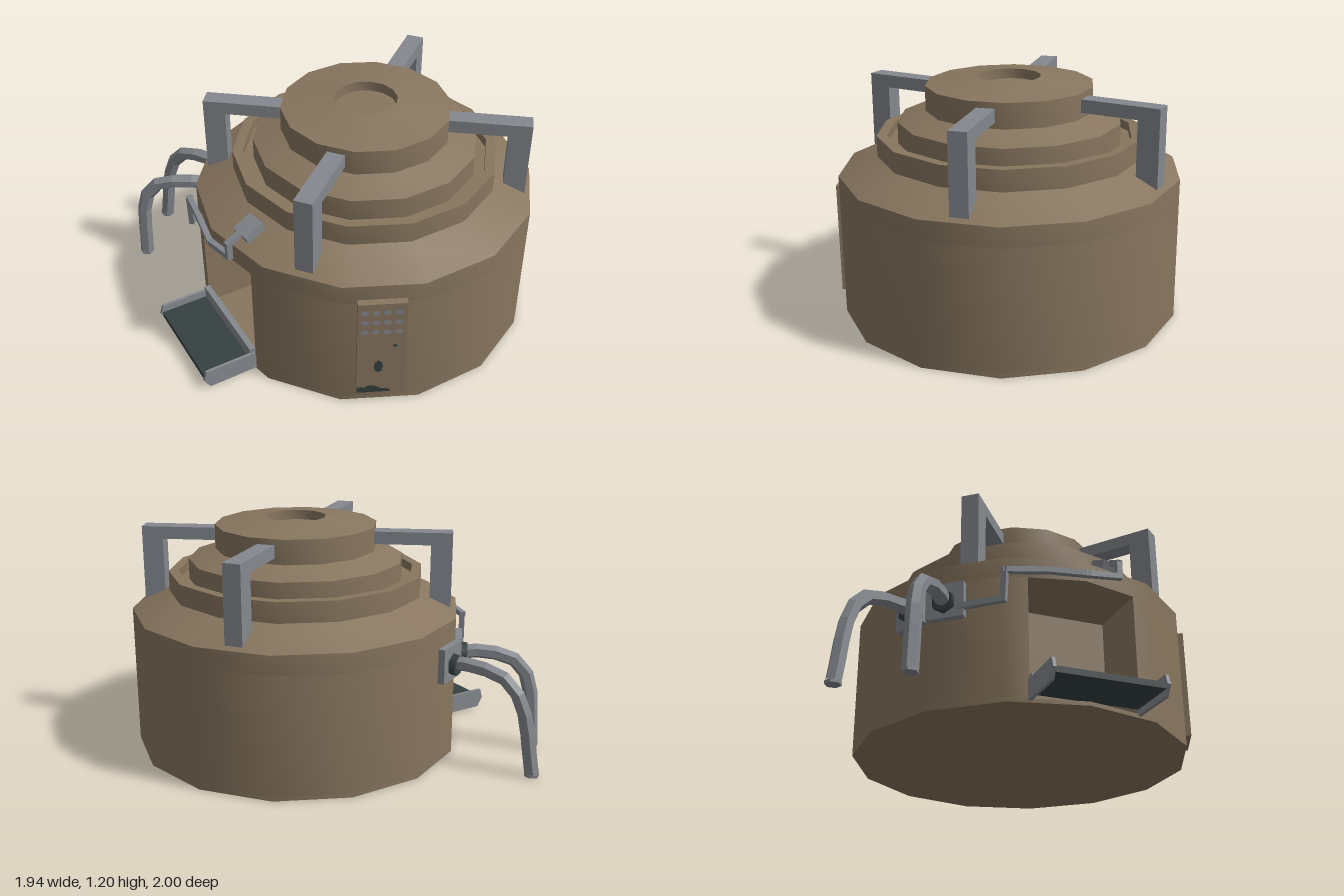
import * as THREE from 'three';
import { toCreasedNormals } from 'three/addons/utils/BufferGeometryUtils.js';

const SIDES = 14, R = 0.86, CX = 0.11, CZ = 0.16;
const STEP = (Math.PI * 2) / SIDES;
const APOTHEM = R * Math.cos(STEP / 2);
const V = (x, y, z) => new THREE.Vector3(x, y, z);

export function createModel() {
  const model = new THREE.Group();
  const material = (name, color, extra = {}) => {
    const m = new THREE.MeshStandardMaterial({ color, ...extra });
    m.name = name;
    return m;
  };
  const brown = material('brown paint', 0x88765f);
  const grey = material('grey metal', 0x84888e);
  const dark = material('dark metal', 0x364040);

  const add = (name, geo, mat, parent = model) => {
    const mesh = new THREE.Mesh(geo, mat);
    mesh.name = name;
    parent.add(mesh);
    return mesh;
  };
  const box = (name, mat, w, h, d, x, y, z, parent) => {
    const m = add(name, new THREE.BoxGeometry(w, h, d), mat, parent);
    m.position.set(x, y, z);
    return m;
  };
  // Group lying on a flat side of the body: local +z points outward
  const onSide = (name, index) => {
    const a = (index + 0.5) * STEP;
    const g = new THREE.Group();
    g.name = name;
    g.position.set(CX + APOTHEM * Math.cos(a), 0, CZ + APOTHEM * Math.sin(a));
    g.rotation.y = Math.PI / 2 - a;
    model.add(g);
    return g;
  };
  // Plan outline raised from y0 to y1
  const slab = (points, y0, y1) => {
    const shape = new THREE.Shape(points.map(p => new THREE.Vector2(p[0], p[1])));
    const g = new THREE.ExtrudeGeometry(shape, { depth: y1 - y0, bevelEnabled: false });
    g.rotateX(Math.PI / 2).translate(0, y1, 0);
    return toCreasedNormals(g, 0.5);
  };

  // Body: floor, walls with a doorway recess, stepped roof
  const outline = [];
  for (let i = 0; i < SIDES; i++) {
    outline.push([CX + R * Math.cos(i * STEP), CZ + R * Math.sin(i * STEP)]);
  }
  add('floor', slab(outline, 0, 0.02), brown);
  const walls = [...outline];
  walls.splice(7, 1, [-0.686, 0.44], [-0.35, 0.44], [-0.35, -0.11], [-0.689, -0.11]);
  add('walls', slab(walls, 0.02, 0.63), brown);

  const profile = [
    [0, 0.63], [R, 0.63], [R, 0.73], [0.665, 0.82], [0.665, 0.925], [0.615, 0.925], [0.615, 0.88],
    [0.56, 0.88], [0.56, 0.99], [0.42, 1.04], [0.42, 1.165], [0.155, 1.2], [0.155, 1.15], [0, 1.15],
  ].map(p => new THREE.Vector2(p[0], p[1]));
  const roof = new THREE.LatheGeometry(profile, SIDES, Math.PI / 2);
  add('roof', toCreasedNormals(roof, 0.5), brown).position.set(CX, 0, CZ);

  // Four brackets reaching from the eaves to the top cap
  for (const side of [1, 5, 8, 12]) {
    const g = new THREE.Group();
    g.name = 'bracket';
    g.position.set(CX, 0, CZ);
    g.rotation.y = -(side + 0.5) * STEP;
    model.add(g);
    box('bracketPost', grey, 0.11, 0.395, 0.09, 0.755, 0.9375, 0, g);
    box('bracketArm', grey, 0.3, 0.065, 0.09, 0.55, 1.1025, 0, g);
  }

  // Front panel with vents, keyhole and a worn lower edge
  const panel = onSide('frontPanel', 4);
  box('panelPlate', brown, 0.23, 0.57, 0.05, -0.004, 0.365, 0.01, panel);
  const front = 0.038;
  for (const y of [0.6, 0.54, 0.48]) {
    for (const x of [-0.085, -0.033, 0.02, 0.072]) {
      const vent = add('vent', new THREE.CircleGeometry(0.02, 8), grey, panel);
      vent.position.set(x, y, front);
      vent.scale.y = 0.75;
    }
  }
  const hole = add('keyhole', new THREE.CircleGeometry(0.04, 8), dark, panel);
  hole.position.set(-0.016, 0.255, front);
  hole.scale.x = 0.55;
  box('panelHandle', dark, 0.02, 0.01, 0.006, 0.06, 0.39, front, panel);
  const wear = new THREE.Shape([[-0.118, 0.082], [0.045, 0.082], [0.04, 0.1], [0, 0.105], [-0.03, 0.125],
    [-0.06, 0.13], [-0.08, 0.115], [-0.118, 0.12]].map(p => new THREE.Vector2(p[0], p[1])));
  add('wornEdge', new THREE.ShapeGeometry(wear), dark, panel).position.z = front;

  // Door ramp between two side rails
  box('rampPlate', dark, 0.27, 0.03, 0.54, -0.825, 0.055, 0.163);
  const rail = new THREE.Shape([[-0.97, 0.06], [-0.955, 0.11], [-0.69, 0.11], [-0.67, 0.01], [-0.94, 0.008]]
    .map(p => new THREE.Vector2(p[0], p[1])));
  for (const z of [-0.117, 0.428]) {
    const geo = new THREE.ExtrudeGeometry(rail, { depth: 0.016, bevelEnabled: false });
    add('rampRail', geo, grey).position.z = z;
  }
  box('rampHinge', grey, 0.03, 0.07, 0.54, -0.698, 0.1, 0.163);

  // Pipe connector wrapped round a back corner
  for (const [side, sign] of [[8, -1], [9, 1]]) {
    const g = onSide('pipeConnector', side);
    box('connectorPlate', grey, 0.19, 0.18, 0.05, sign * 0.098, 0.53, 0.01, g);
    const socket = add('pipeSocket', new THREE.CylinderGeometry(0.055, 0.06, 0.04, 6), dark, g);
    socket.rotation.x = Math.PI / 2;
    socket.position.set(sign * 0.1, 0.52, 0.045);
  }

  // Bent pipes running down to the ground
  const pipeMat = material('grey pipe', 0x84888e, { flatShading: true });
  const pipePaths = [
    [V(-0.35, 0.52, -0.55), V(-0.41, 0.53, -0.67), V(-0.49, 0.49, -0.83), V(-0.535, 0.38, -0.905), V(-0.575, 0.015, -0.965)],
    [V(-0.49, 0.52, -0.45), V(-0.61, 0.53, -0.53), V(-0.74, 0.48, -0.64), V(-0.79, 0.38, -0.675), V(-0.815, 0.015, -0.695)],
  ];
  for (const path of pipePaths) {
    const curve = new THREE.CatmullRomCurve3(path, false, 'centripetal');
    add('pipe', new THREE.TubeGeometry(curve, 8, 0.038, 6), pipeMat);
    const end = add('pipeEnd', new THREE.CylinderGeometry(0.038, 0.038, 0.015, 6), pipeMat);
    end.position.copy(path[4]);
    end.position.y = 0.012;
  }

  // Cable along the wall, over the doorway and up to a roof box
  const cable = [V(-0.55, 0.49, -0.4), V(-0.695, 0.49, -0.235), V(-0.7, 0.64, -0.23), V(-0.735, 0.66, -0.02),
    V(-0.765, 0.66, 0.16), V(-0.745, 0.69, 0.34), V(-0.745, 0.765, 0.34), V(-0.65, 0.81, 0.33)];
  for (let i = 0; i < cable.length - 1; i++) {
    const [a, b] = [cable[i], cable[i + 1]];
    const seg = box('cable', grey, 0.028, 0.028, a.distanceTo(b) + 0.024, 0, 0, 0);
    seg.position.lerpVectors(a, b, 0.5);
    seg.lookAt(b);
  }
  box('roofBox', grey, 0.11, 0.045, 0.1, -0.628, 0.805, 0.33).rotation.set(0, 0.15, 0.42);

  return model;
}
